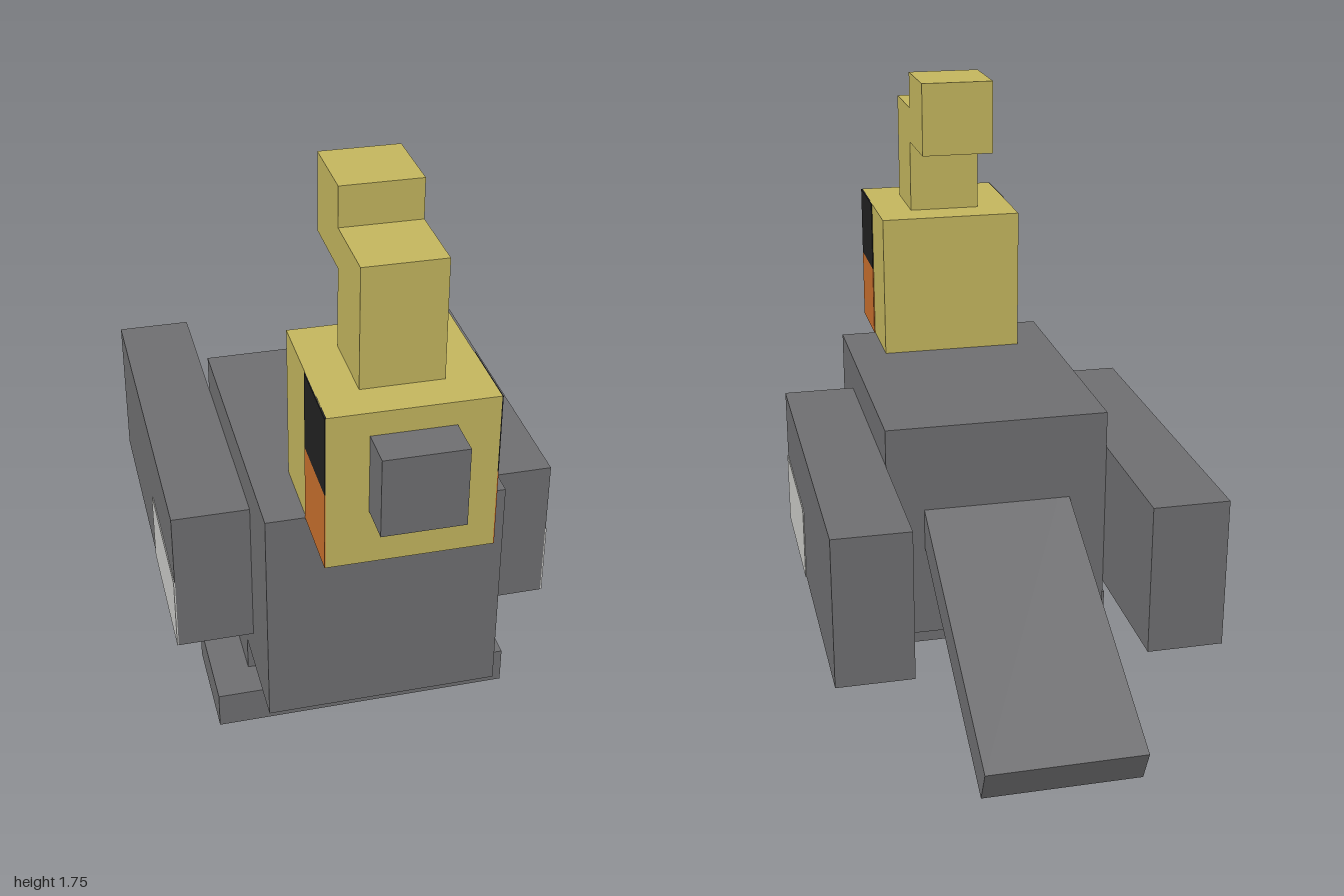
import * as THREE from 'three';

const mat = (name, color) => {
  const m = new THREE.MeshStandardMaterial({ color });
  m.name = name;
  return m;
};

export function createModel() {
  const bird = new THREE.Group();
  bird.name = 'bird';
  const grey = mat('feather grey', 0x6f6f71);
  const yellow = mat('head yellow', 0xc4b65e);
  const orange = mat('cheek orange', 0xc86f2d);
  const black = mat('eye black', 0x212121);
  const white = mat('wing patch white', 0xc9c9c6);

  // Box given by its extents on each axis
  const box = (name, material, [x0, x1], [y0, y1], [z0, z1]) => {
    const mesh = new THREE.Mesh(new THREE.BoxGeometry(x1 - x0, y1 - y0, z1 - z0), material);
    mesh.position.set((x0 + x1) / 2, (y0 + y1) / 2, (z0 + z1) / 2);
    mesh.name = name;
    bird.add(mesh);
    return mesh;
  };

  // Body and head
  box('body', grey, [-0.328, 0.328], [0.22, 0.877], [-0.2, 0.673]);
  box('head', yellow, [-0.218, 0.218], [0.877, 1.316], [0.454, 0.891]);
  box('beak', grey, [-0.109, 0.109], [1.032, 1.251], [0.891, 1]);

  // Crest curling backwards
  box('crestStem', yellow, [-0.109, 0.109], [1.316, 1.645], [0.564, 0.782]);
  box('crestTip', yellow, [-0.109, 0.109], [1.536, 1.755], [0.345, 0.564]);

  // One slab for the feet
  box('feet', grey, [-0.437, 0.437], [0, 0.11], [0.127, 0.454]);

  // Pale wing patch, its upper rear corner rounded
  const patch = new THREE.Shape();
  patch.moveTo(0.018, 0.329);
  patch.lineTo(0.454, 0.329);
  patch.lineTo(0.454, 0.553);
  patch.lineTo(0.036, 0.553);
  patch.quadraticCurveTo(0.018, 0.553, 0.018, 0.535);
  patch.closePath();
  const patchGeometry = new THREE.ExtrudeGeometry(patch, { depth: 0.004, bevelEnabled: false, curveSegments: 4 });
  patchGeometry.rotateY(-Math.PI / 2).translate(0.002, 0, 0);

  for (const [side, s] of [['left', 1], ['right', -1]]) {
    const span = (a, b) => (s > 0 ? [a, b] : [-b, -a]);
    box(side + 'Leg', grey, span(0.109, 0.328), [0.11, 0.22], [0.127, 0.345]);
    box(side + 'Wing', grey, span(0.328, 0.546), [0.329, 0.768], [-0.637, 0.454]);
    const mark = new THREE.Mesh(patchGeometry, white);
    mark.position.x = s * 0.547;
    mark.name = side + 'WingPatch';
    bird.add(mark);
    // Face markings on the sides of the head
    box(side + 'Eye', black, span(0.216, 0.221), [1.097, 1.316], [0.673, 0.891]);
    box(side + 'Cheek', orange, span(0.216, 0.221), [0.877, 1.097], [0.673, 0.891]);
  }

  // Tail sloping down and back, rooted in the body
  const length = 0.96;
  const tailGeometry = new THREE.BoxGeometry(0.436, 0.109, length).translate(0, 0, length / 2);
  const tail = new THREE.Mesh(tailGeometry, grey);
  tail.position.set(0, 0.197, -0.977);
  tail.rotation.x = -THREE.MathUtils.degToRad(25);
  tail.name = 'tail';
  bird.add(tail);

  return bird;
}
